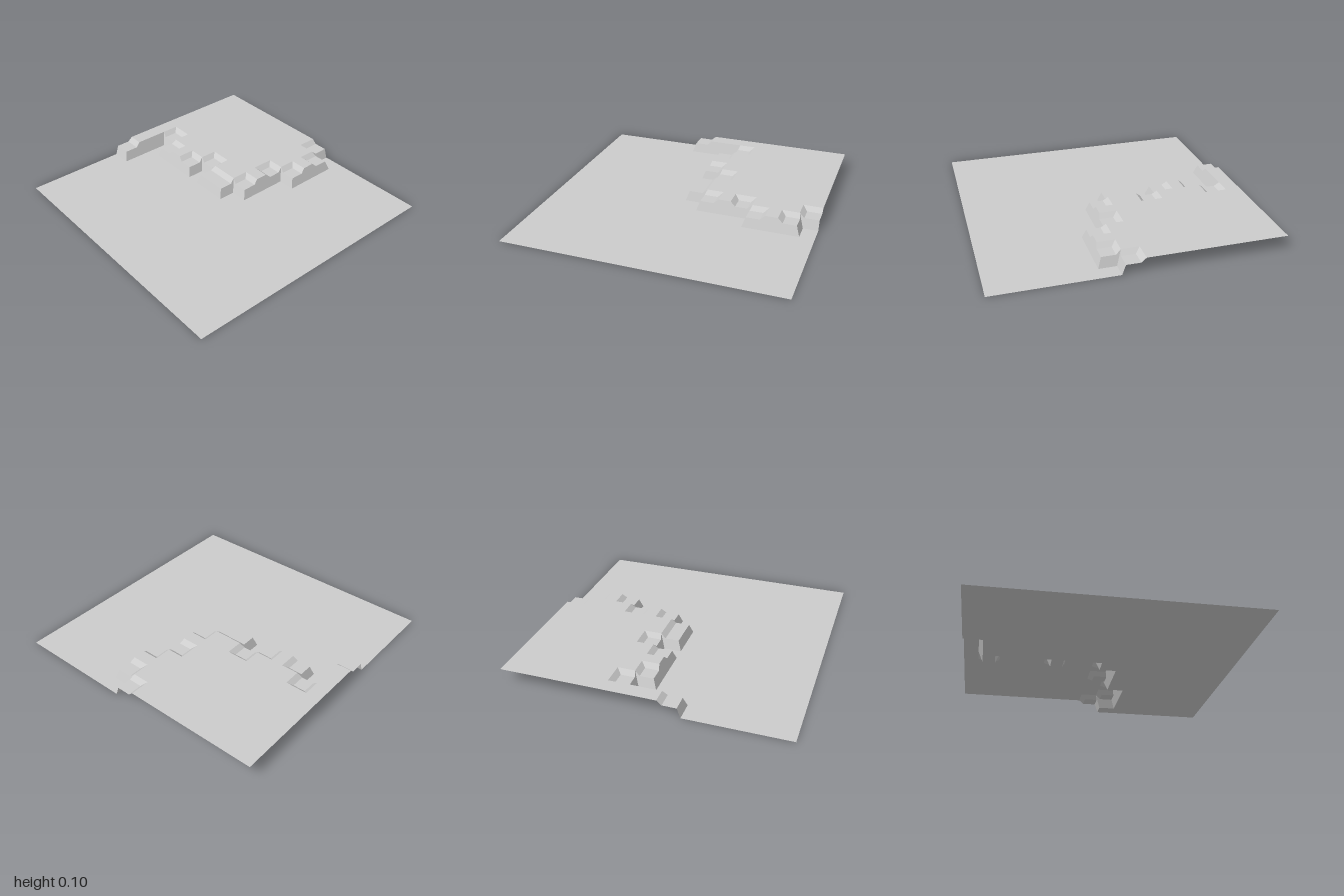
import * as THREE from 'three';

const CELL = 0.125, MID = 0.07, TOP = 0.1;
const FOOT = 0.0175;   // how far a slope's foot stands out from its grid line
const FLUSH = -0.007;  // where the tall slope crosses the middle level

const stone = new THREE.MeshStandardMaterial({ color: 0xcccccc, side: THREE.DoubleSide });
stone.name = 'stone grey';

// Ledge outlines as alternating x and z grid lines: [line, outward sign, flush with lower wall]
const W = [-8, 0], B = [-8, 0];
const lowerLines = [
  W, [2, 1], [-7, 1], [-1, 1], [-6, -1], [0, 1], [-3, 1], [-1, 1], [-2, -1], [0, 1],
  [0, 1], [-1, 1], [1, 1], [-4, 1], [2, 1], [-7, -1], [1, 1], B,
];
// Corner where two steps touch diagonally: the foot folds back to the lower wall
const touch = (a, b) => [a, [...b, 1], [...a, 1], b];
const upperLines = [
  W, [1, 1], [-7, 1, 1], [-1, 1, 1], [-7, 1], [-2, 1],
  ...touch([-6, -1], [-1, 1]), [-5, -1], [0, 1, 1], [-4, 1],
  ...touch([-1, 1], [-3, 1]), [-2, 1],
  ...touch([-2, -1], [-1, 1]).slice(0, 3),
  ...touch([-1, 1], [0, 1]), [-2, 1], [1, 1, 1], [-3, -1], [0, 1],
  ...touch([-4, 1], [1, 1]), [-5, 1], [2, 1, 1], [-6, -1],
  ...touch([1, 1], [-7, -1]), [0, 1], B,
];

// Corner points of an outline, each line moved outward by its offset
function ring(lines, offset) {
  const at = ([v, sign, flush]) => v * CELL + sign * offset(flush);
  return lines.slice(1).map((line, i) =>
    i % 2 ? [at(line), at(lines[i])] : [at(lines[i]), at(line)]);
}

function add(group, name, geometry) {
  const mesh = new THREE.Mesh(geometry, stone);
  mesh.name = name;
  group.add(mesh);
}

function flat(points, y) {
  const shape = new THREE.Shape(points.map(([x, z]) => new THREE.Vector2(x, -z)));
  return new THREE.ShapeGeometry(shape).rotateX(-Math.PI / 2).translate(0, y, 0);
}

// Sloped band between two rings
function slope(low, y0, high, y1) {
  const pos = [];
  for (let i = 0; i < low.length - 1; i++) {
    const a = [low[i][0], y0, low[i][1]], b = [low[i + 1][0], y0, low[i + 1][1]];
    const c = [high[i + 1][0], y1, high[i + 1][1]], d = [high[i][0], y1, high[i][1]];
    pos.push(...a, ...b, ...c, ...a, ...c, ...d);
  }
  const g = new THREE.BufferGeometry();
  g.setAttribute('position', new THREE.Float32BufferAttribute(pos, 3));
  g.computeVertexNormals();
  return g;
}

export function createModel() {
  const group = new THREE.Group();
  group.name = 'cliffCornerTile';

  const lowerFoot = ring(lowerLines, () => FOOT);
  const lowerRim = ring(lowerLines, () => FLUSH);
  const upperFoot = ring(upperLines, (flush) => (flush ? FLUSH : FOOT));
  const upperRim = ring(upperLines, () => -FOOT);

  // Ground and plateau sheets
  add(group, 'ground', flat([...lowerFoot, [1, -1], [1, 1], [-1, 1]], 0));
  add(group, 'plateau', flat([...upperRim, [-1, -1]], TOP));

  // Sloped sides
  add(group, 'lowerWall', slope(lowerFoot, 0, lowerRim, MID));
  add(group, 'upperBevel', slope(upperFoot, MID, upperRim, TOP));

  // Step treads: west, east, north, south lines and what lies on each side
  // (u = upper bevel, l = lower wall, b = tile border)
  const inset = { u: FOOT, l: -FLUSH, b: 0 };
  const treads = [
    [-8, -7, 1, 2, 'blul'], [-7, -6, -2, -1, 'uuul'], [-6, -5, -1, 0, 'luul'],
    [-4, -3, -1, 0, 'ulul'], [-3, -2, -2, -1, 'uuul'], [-2, 0, -1, 0, 'llul'],
    [0, 1, -2, -1, 'ulul'], [0, 1, -4, -3, 'uluu'], [1, 2, -5, -4, 'ulul'],
    [1, 2, -7, -6, 'ullu'], [0, 1, -8, -7, 'ulbu'],
  ];
  for (const [w, e, n, s, sides] of treads) {
    const [iw, ie, iN, is] = [...sides].map((k) => inset[k]);
    const x0 = w * CELL + iw, x1 = e * CELL - ie, z0 = n * CELL + iN, z1 = s * CELL - is;
    add(group, 'stepTread', flat([[x0, z0], [x0, z1], [x1, z1], [x1, z0]], MID));
  }
  return group;
}
